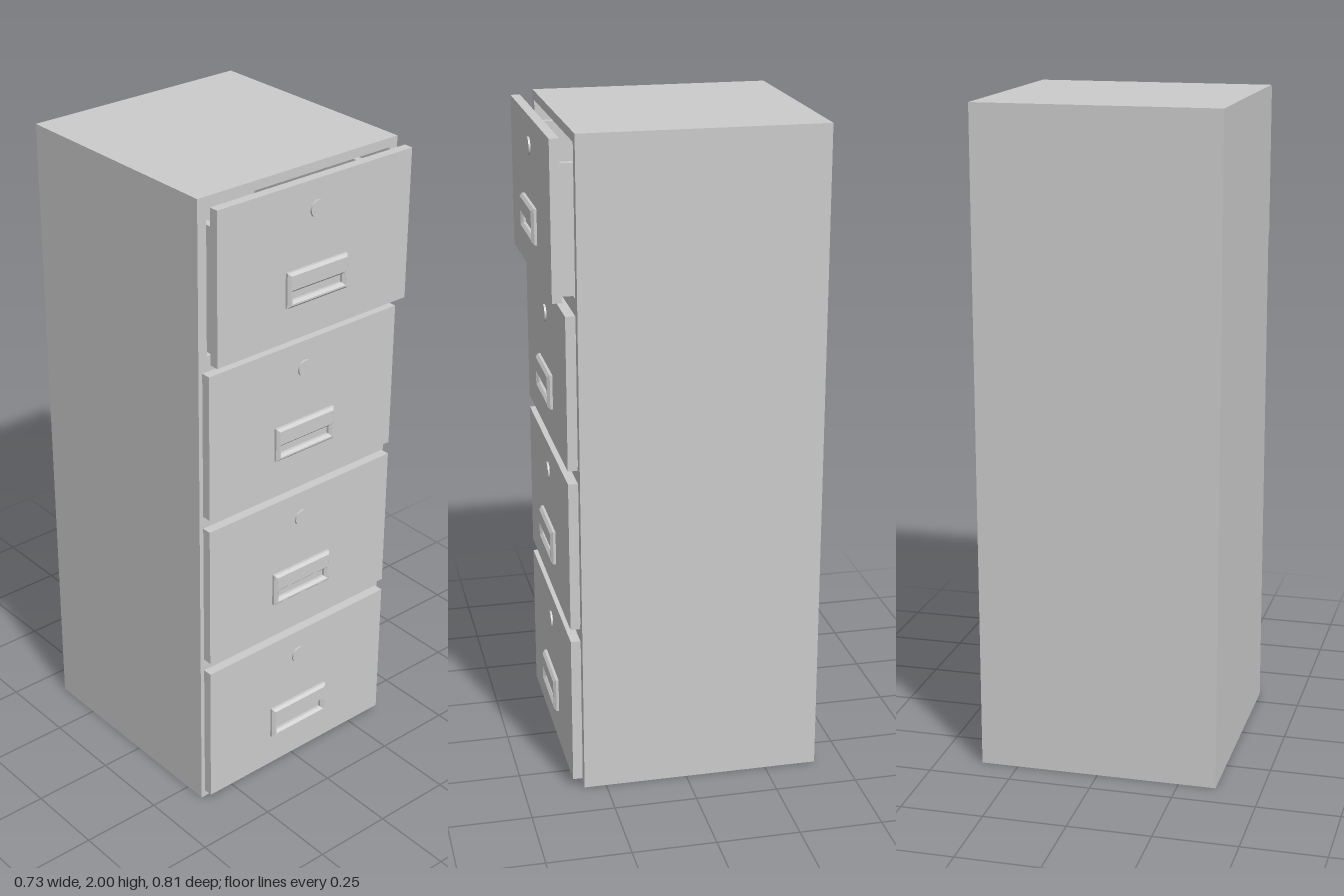
import * as THREE from 'three';

const material = new THREE.MeshStandardMaterial({ color: 0xcccccc });

function add(parent, name, geometry, x = 0, y = 0, z = 0) {
  const mesh = new THREE.Mesh(geometry, material);
  mesh.name = name;
  mesh.position.set(x, y, z);
  parent.add(mesh);
  return mesh;
}

// Box given by its lower and upper corners
function addBox(parent, name, [x0, y0, z0], [x1, y1, z1]) {
  return add(parent, name, new THREE.BoxGeometry(x1 - x0, y1 - y0, z1 - z0),
    (x0 + x1) / 2, (y0 + y1) / 2, (z0 + z1) / 2);
}

// Rectangular outline, usable as a shape or a hole
function rect(Type, x0, y0, x1, y1) {
  const p = new Type();
  p.moveTo(x0, y0);
  p.lineTo(x1, y0);
  p.lineTo(x1, y1);
  p.lineTo(x0, y1);
  p.closePath();
  return p;
}

const HALF_W = 0.363, BACK = -0.41, FRONT = 0.317;
const DRAWERS = 4, PITCH = 0.5, FIRST = 0.027;

// Bevelled pull with a slot in its lower half
function handleGeometry() {
  const shape = rect(THREE.Shape, -0.103, -0.045, 0.103, 0.045);
  shape.holes.push(rect(THREE.Path, -0.103 + 0.003, -0.04, 0.1, 0.002));
  return new THREE.ExtrudeGeometry(shape, {
    depth: 0.018, bevelEnabled: true, bevelThickness: 0.008, bevelSize: 0.008, bevelSegments: 1,
    bevelOffset: 0,
  });
}

// Drawer with its origin at the bottom of the front panel, z = 0 on the panel's back
function createDrawer() {
  const drawer = new THREE.Group();
  addBox(drawer, 'drawerFront', [-0.353, 0, 0], [0.353, 0.46, 0.029]);

  // Open tray behind the front
  const depth = 0.6;
  for (const s of [-1, 1]) {
    add(drawer, 'drawerSide', new THREE.BoxGeometry(0.022, 0.376, depth), s * 0.311, 0.198, -depth / 2);
  }
  addBox(drawer, 'drawerFloor', [-0.3, 0.01, -depth], [0.3, 0.025, 0]);
  addBox(drawer, 'drawerBack', [-0.3, 0.025, -depth], [0.3, 0.386, -depth + 0.02]);

  // Handle, its back bevel sunk into the front
  add(drawer, 'handle', handleGeometry(), 0, 0.16, 0.019);

  const lock = add(drawer, 'lock', new THREE.CylinderGeometry(0.026, 0.026, 0.012, 32), 0, 0.373, 0.029);
  lock.rotation.x = Math.PI / 2;
  return drawer;
}

export function createModel() {
  const model = new THREE.Group();
  model.name = 'filingCabinet';

  // Cabinet shell: a frame with one opening per drawer, closed at the back
  const frame = rect(THREE.Shape, -HALF_W, 0, HALF_W, 2);
  for (let i = 0; i < DRAWERS; i++) {
    const y = FIRST + i * PITCH;
    frame.holes.push(rect(THREE.Path, -0.333, y + 0.005, 0.333, y + 0.445));
  }
  const back = BACK + 0.02;
  add(model, 'cabinetShell',
    new THREE.ExtrudeGeometry(frame, { depth: FRONT - back, bevelEnabled: false }), 0, 0, back);
  addBox(model, 'cabinetBack', [-HALF_W, 0, BACK], [HALF_W, 2, back]);

  // Drawers; the top one is pulled slightly open
  for (let i = 0; i < DRAWERS; i++) {
    const drawer = createDrawer();
    drawer.name = `drawer${i + 1}`;
    const pull = i === DRAWERS - 1 ? 0.036 : 0;
    drawer.position.set(0, FIRST + i * PITCH, 0.321 + pull);
    model.add(drawer);
  }
  return model;
}
